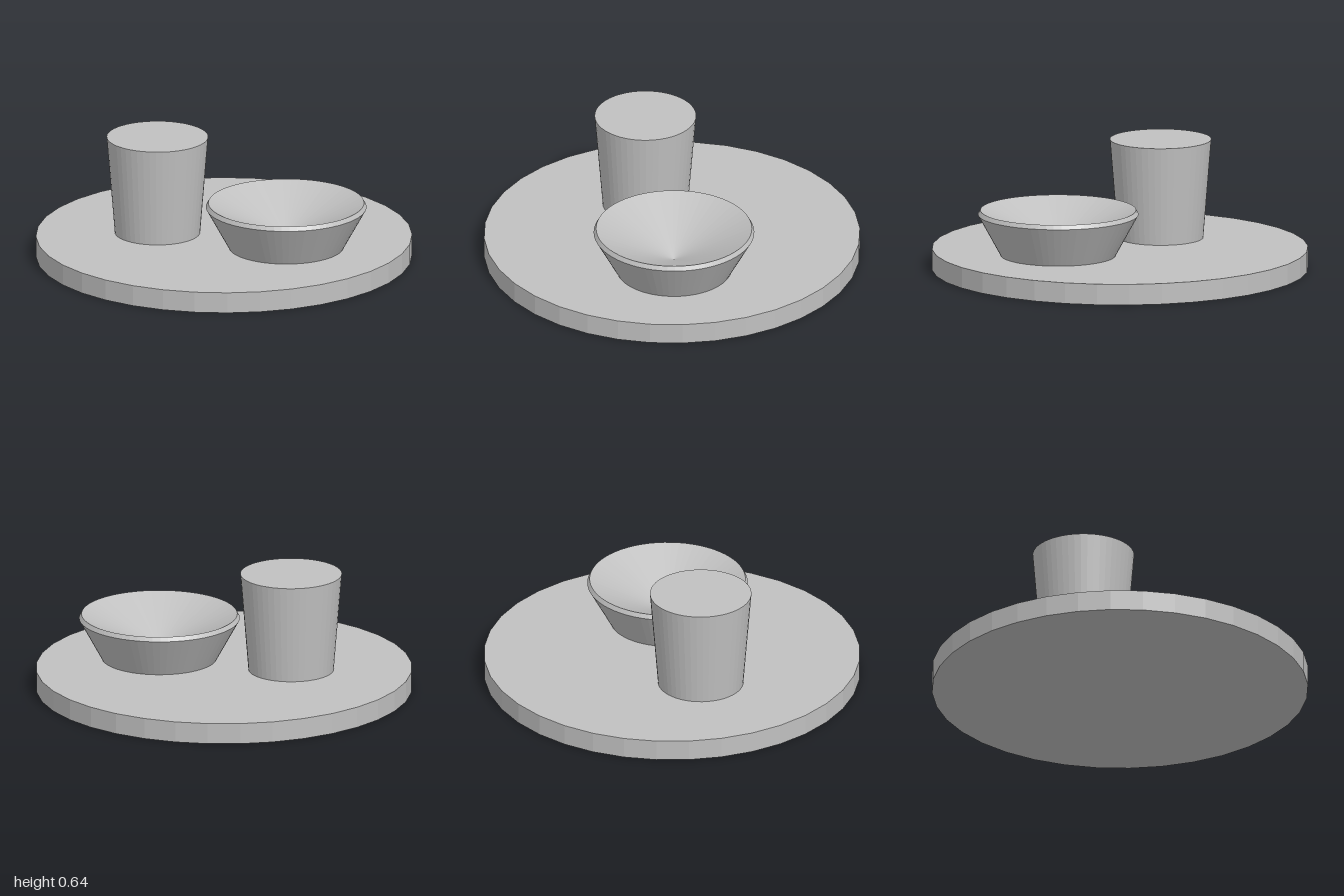
import * as THREE from 'three';

export function createModel() {
  const model = new THREE.Group();
  const grey = new THREE.MeshStandardMaterial({ color: 0xc0c0c0, flatShading: true });
  grey.name = 'plain grey';

  function add(name, geometry, x, y, z) {
    const mesh = new THREE.Mesh(geometry, grey);
    mesh.name = name;
    mesh.position.set(x, y, z);
    model.add(mesh);
  }

  const trayTop = 0.112;
  const cupHeight = 0.532;

  // Round tray
  add('tray', new THREE.CylinderGeometry(1, 1, trayTop, 36), 0, trayTop / 2, 0);

  // Solid tapered cup
  add('cup', new THREE.CylinderGeometry(0.27, 0.227, cupHeight, 48), -0.358, trayTop + cupHeight / 2, 0);

  // Bowl: closed base, flared wall, bevelled rim and conical hollow
  const profile = [
    [0, 0], [0.306, 0], [0.427, 0.221], [0.414, 0.244], [0, 0.054],
  ].map(([r, y]) => new THREE.Vector2(r, y));
  add('bowl', new THREE.LatheGeometry(profile, 64), 0.357, trayTop, 0.142);

  return model;
}
